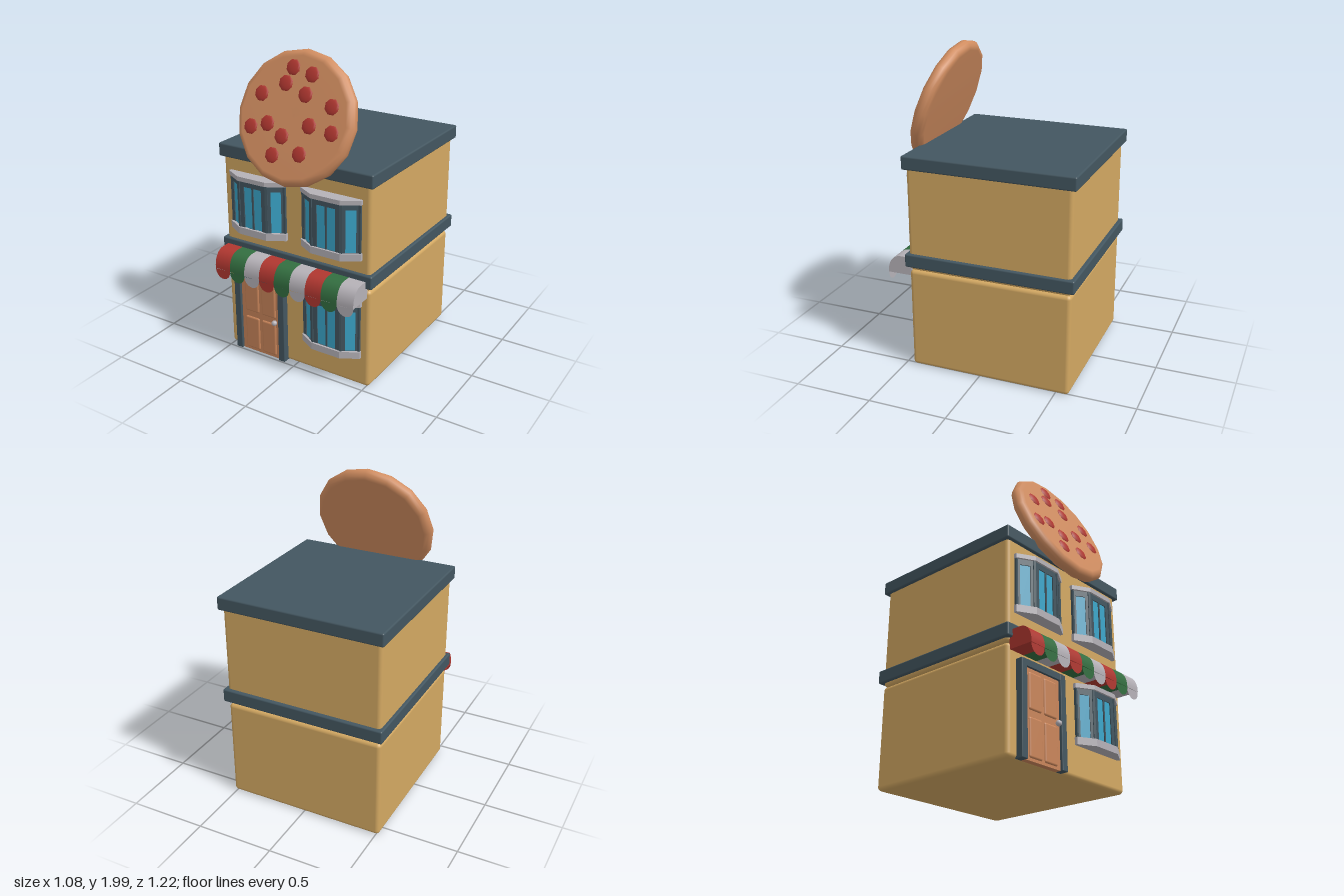
import * as THREE from 'three';
import { toCreasedNormals } from 'three/addons/utils/BufferGeometryUtils.js';
import { RoundedBoxGeometry } from 'three/addons/geometries/RoundedBoxGeometry.js';

const material = (name, color, side = THREE.FrontSide) => {
  const m = new THREE.MeshStandardMaterial({ color, side });
  m.name = name;
  return m;
};

export function createModel() {
  const model = new THREE.Group();
  model.name = 'pizzaShop';
  const wall = material('wallYellow', 0xd3a862);
  const slate = material('slate', 0x435660);
  const grey = material('lightGrey', 0xb5b1b7, THREE.DoubleSide);
  const red = material('red', 0xb03730, THREE.DoubleSide);
  const green = material('green', 0x336e40, THREE.DoubleSide);
  const glass = material('glassBlue', 0x3ba6ca);
  const crust = material('crust', 0xd18d60);
  const wood = material('doorWood', 0xc9855a);

  const add = (parent, name, geometry, mat, x = 0, y = 0, z = 0) => {
    const mesh = new THREE.Mesh(geometry, mat);
    mesh.name = name;
    mesh.position.set(x, y, z);
    parent.add(mesh);
    return mesh;
  };
  const group = (parent, name, x = 0, y = 0, z = 0) => {
    const g = new THREE.Group();
    g.name = name;
    g.position.set(x, y, z);
    parent.add(g);
    return g;
  };
  // Rounded box given by its extents
  const block = (name, mat, [x0, x1], [y0, y1], [z0, z1], radius) =>
    add(model, name, new RoundedBoxGeometry(x1 - x0, y1 - y0, z1 - z0, 3, radius), mat,
      (x0 + x1) / 2, (y0 + y1) / 2, (z0 + z1) / 2);
  const polygon = pts => new THREE.Shape(pts.map(p => new THREE.Vector2(...p)));
  const rect = (x0, x1, y0, y1) => [[x0, y0], [x1, y0], [x1, y1], [x0, y1]];

  // Two storeys with overhanging ledges
  block('lowerStorey', wall, [-0.52, 0.52], [0, 0.655], [-0.585, 0.455], 0.025);
  block('upperStorey', wall, [-0.52, 0.52], [0.655, 1.33], [-0.585, 0.455], 0.025);
  block('middleLedge', slate, [-0.54, 0.54], [0.68, 0.765], [-0.61, 0.475], 0.01);
  block('roof', slate, [-0.54, 0.54], [1.305, 1.39], [-0.61, 0.475], 0.01);

  // Bay windows: three framed facets between two sills
  const sillGeometry = height => {
    const s = polygon([[-0.207, -0.45], [-0.207, -0.474], [-0.1, -0.534],
      [0.1, -0.534], [0.207, -0.474], [0.207, -0.45]]);
    return new THREE.ExtrudeGeometry(s, { depth: height, bevelEnabled: false }).rotateX(-Math.PI / 2);
  };
  const facet = (parent, name, width, panes, x, z, angle) => {
    const g = group(parent, name, x, 0, z);
    g.rotation.y = angle;
    const frame = polygon(rect(-width / 2, width / 2, 0.03, 0.36));
    for (const [a, b] of panes) {
      frame.holes.push(new THREE.Path(rect(a, b, 0.045, 0.312).map(p => new THREE.Vector2(...p))));
      add(g, 'pane', new THREE.BoxGeometry(b - a + 0.004, 0.271, 0.006), glass, (a + b) / 2, 0.1785, -0.009);
    }
    add(g, 'frame', new THREE.ExtrudeGeometry(frame, { depth: 0.014, bevelEnabled: false }), slate, 0, 0, -0.014);
  };
  const bayWindow = (name, x, y) => {
    const g = group(model, name, x, y, 0);
    facet(g, 'frontFacet', 0.2, [[-0.064, -0.006], [0.006, 0.064]], 0, 0.522, 0);
    for (const s of [-1, 1]) {
      facet(g, 'sideFacet', 0.117, [[-0.031, 0.031]], s * 0.15, 0.492, s * 0.54);
      const post = add(g, 'cornerPost', new THREE.BoxGeometry(0.016, 0.33, 0.014), slate, s * 0.1, 0.195, 0.518);
      post.rotation.y = s * 0.27;
      add(g, 'endPost', new THREE.BoxGeometry(0.014, 0.33, 0.022), slate, s * 0.194, 0.195, 0.459);
    }
    add(g, 'bottomSill', sillGeometry(0.045), grey);
    add(g, 'topSill', sillGeometry(0.028), grey, 0, 0.348, 0);
  };
  bayWindow('lowerWindow', 0.26, 0.198);
  bayWindow('upperLeftWindow', 0.26, 0.849);
  bayWindow('upperRightWindow', -0.26, 0.849);

  // Door with frame, raised panels and knob
  const door = group(model, 'door', -0.26, 0, 0);
  add(door, 'doorLeaf', new THREE.BoxGeometry(0.29, 0.53, 0.04), wood, 0, 0.268, 0.46);
  for (const s of [-1, 1]) {
    add(door, 'doorPost', new RoundedBoxGeometry(0.046, 0.57, 0.055, 2, 0.005), slate, s * 0.167, 0.287, 0.47);
    for (const [y, h] of [[0.4, 0.222], [0.135, 0.232]])
      add(door, 'doorPanel', new RoundedBoxGeometry(0.11, h, 0.03, 3, 0.013), wood, s * 0.064, y, 0.473);
  }
  add(door, 'doorHeader', new THREE.BoxGeometry(0.33, 0.04, 0.053), slate, 0, 0.552, 0.47);
  add(door, 'knob', new THREE.SphereGeometry(0.018, 12, 8), grey, 0.117, 0.267, 0.498);

  // Striped awning with scalloped edge
  const awning = group(model, 'awning');
  const profile = new THREE.Shape();
  profile.moveTo(0.45, 0.61);
  profile.lineTo(0.61, 0.61);
  profile.lineTo(0.61, 0.63);
  profile.bezierCurveTo(0.606, 0.685, 0.575, 0.727, 0.525, 0.727);
  profile.lineTo(0.45, 0.727);
  const stripeWidth = 1 / 9;
  const stripe = toCreasedNormals(new THREE.ExtrudeGeometry(profile,
    { depth: stripeWidth, bevelEnabled: false, curveSegments: 8 }), 0.6);
  stripe.rotateY(-Math.PI / 2).translate(stripeWidth / 2, 0, 0);
  const flap = new THREE.Shape();
  flap.moveTo(-stripeWidth / 2, 0.61);
  flap.absellipse(0, 0.607, stripeWidth / 2, 0.06, Math.PI, 2 * Math.PI, false);
  flap.lineTo(stripeWidth / 2, 0.61);
  const flapGeometry = new THREE.ShapeGeometry(flap, 10);
  for (let i = 0; i < 9; i++) {
    const mat = [red, green, grey][i % 3];
    const x = (i - 4) * stripeWidth;
    add(awning, 'awningStripe', stripe, mat, x);
    add(awning, 'awningScallop', flapGeometry, mat, x, 0, 0.609);
  }

  // Tilted pizza sign
  const pizza = group(model, 'pizzaSign', 0, 1.615, 0.418);
  pizza.rotation.x = -0.345;
  const rim = [[0, -0.045], [0.355, -0.045], [0.38, -0.036], [0.395, -0.018], [0.4, 0],
    [0.395, 0.018], [0.38, 0.036], [0.355, 0.045], [0, 0.042]];
  add(pizza, 'crust', new THREE.LatheGeometry(rim.map(p => new THREE.Vector2(...p)), 16)
    .rotateX(Math.PI / 2), crust);
  const slice = new THREE.SphereGeometry(0.05, 8, 4, 0, Math.PI * 2, 0, Math.PI / 2)
    .scale(1, 0.28, 1).rotateY(Math.PI / 8).rotateX(Math.PI / 2);
  const spots = [[-0.053, 0.29], [0.08, 0.265], [-0.085, 0.195], [-0.238, 0.115], [0.058, 0.148],
    [0.243, 0.105], [-0.275, -0.085], [-0.164, -0.05], [-0.053, -0.108], [0.117, -0.022],
    [0.27, -0.04], [-0.095, -0.225], [0.085, -0.19]];
  for (const [x, y] of spots) add(pizza, 'pepperoni', slice, red, x, y - 0.008, 0.041);

  return model;
}
